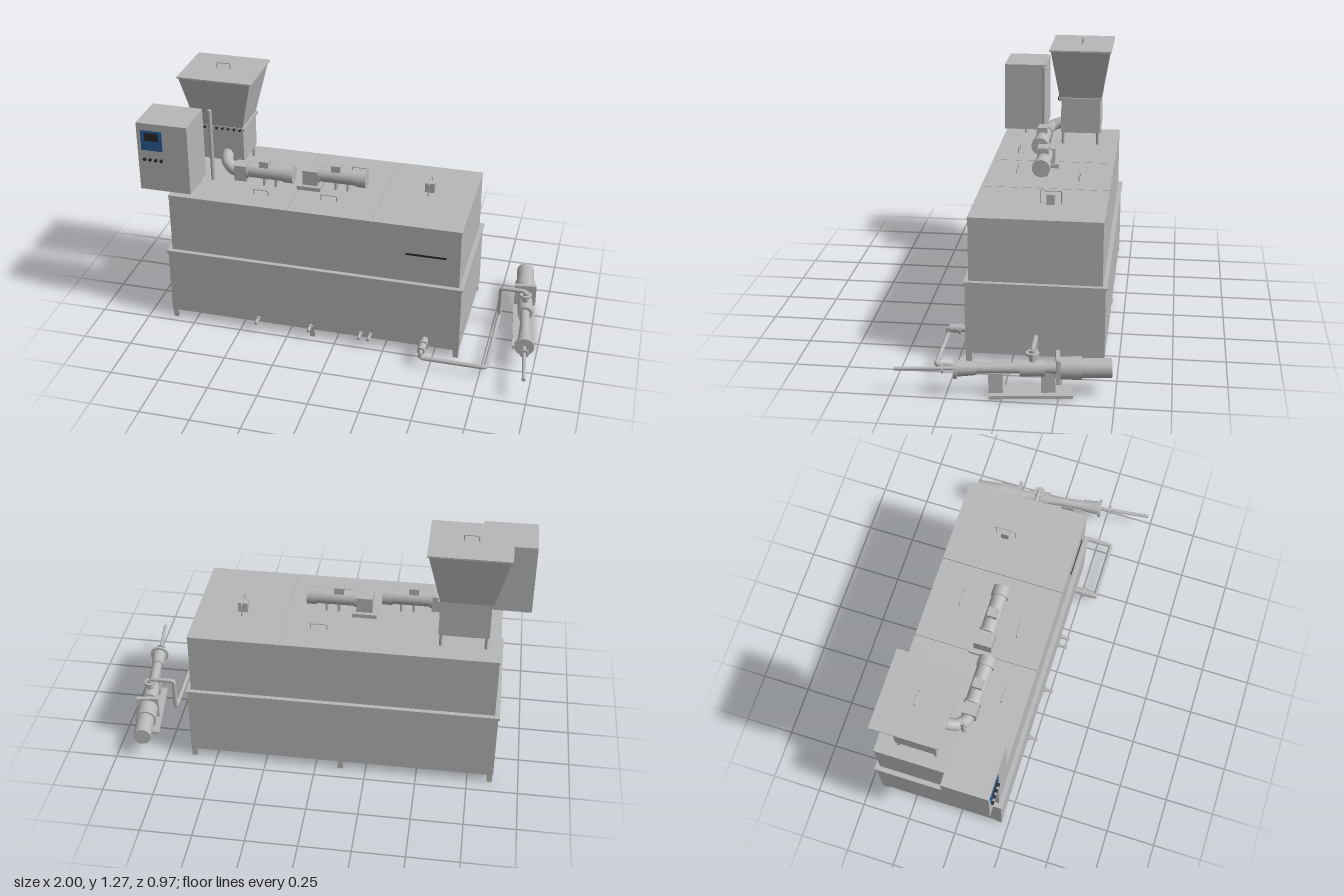
import * as THREE from 'three';

const material = (name, color) => {
  const m = new THREE.MeshStandardMaterial({ color });
  m.name = name;
  return m;
};

export function createModel() {
  const model = new THREE.Group();
  model.name = 'processingTank';
  const steel = material('steel grey', 0xb6b7b8);
  const blue = material('panel blue', 0x2c5c98);
  const dark = material('dark', 0x2a2a2c);

  // Helpers
  const add = (name, geometry, mat = steel, parent = model) => {
    const mesh = new THREE.Mesh(geometry, mat);
    mesh.name = name;
    parent.add(mesh);
    return mesh;
  };
  // Box given by its limits on each axis
  const box = (name, x0, x1, y0, y1, z0, z1, mat, parent) => {
    const g = new THREE.BoxGeometry(x1 - x0, y1 - y0, z1 - z0);
    g.translate((x0 + x1) / 2, (y0 + y1) / 2, (z0 + z1) / 2);
    return add(name, g, mat, parent);
  };
  // Cylinder along one axis from a to b, at the two other coordinates (in x, y, z order)
  const rod = (name, axis, a, b, u, v, r, mat, parent, rEnd = r) => {
    const g = new THREE.CylinderGeometry(rEnd, r, b - a, 24);
    const mid = (a + b) / 2;
    if (axis === 'x') g.rotateZ(-Math.PI / 2).translate(mid, u, v);
    if (axis === 'y') g.translate(u, mid, v);
    if (axis === 'z') g.rotateX(Math.PI / 2).translate(u, v, mid);
    return add(name, g, mat, parent);
  };
  // Pipe through corner points with rounded bends
  const pipe = (name, points, r, bend, parent) => {
    const p = points.map((q) => new THREE.Vector3(...q));
    const path = new THREE.CurvePath();
    let start = p[0];
    for (let i = 1; i < p.length - 1; i++) {
      const before = p[i].clone().add(p[i - 1].clone().sub(p[i]).setLength(bend));
      const after = p[i].clone().add(p[i + 1].clone().sub(p[i]).setLength(bend));
      path.add(new THREE.LineCurve3(start, before));
      path.add(new THREE.QuadraticBezierCurve3(before, p[i], after));
      start = after;
    }
    path.add(new THREE.LineCurve3(start, p[p.length - 1]));
    return add(name, new THREE.TubeGeometry(path, 120, r, 12), steel, parent);
  };
  // Bent wire handle standing on a lid
  const handle = (name, x, y, z, w, h, alongZ = false) => {
    const m = pipe(name, [[-w / 2, 0, 0], [-w / 2, h, 0], [w / 2, h, 0], [w / 2, 0, 0]], 0.003, 0.006);
    m.position.set(x, y, z);
    if (alongZ) m.rotation.y = Math.PI / 2;
  };

  // Tank: lower and upper casing, rim and feet
  box('lowerTank', -0.877, 0.628, 0.045, 0.395, -0.435, 0.216);
  box('tankRim', -0.884, 0.635, 0.393, 0.404, -0.442, 0.223);
  box('upperTank', -0.86, 0.613, 0.404, 0.708, -0.42, 0.2);
  for (const x of [-0.86, -0.125, 0.612])
    for (const z of [-0.42, 0.2]) box('foot', x - 0.013, x + 0.013, 0, 0.046, z - 0.014, z + 0.014);

  // Three lids divided by narrow seams
  for (const [a, b] of [[-0.862, -0.252], [-0.248, 0.173], [0.177, 0.615]])
    box('lid', a, b, 0.706, 0.715, -0.422, 0.202);
  handle('lidHandle', -0.415, 0.713, 0.085, 0.075, 0.03);
  handle('lidHandle', -0.075, 0.713, 0.055, 0.08, 0.03);
  handle('lidHandle', 0.005, 0.713, -0.265, 0.08, 0.03);
  handle('sensorBracket', 0.39, 0.713, -0.16, 0.1, 0.066, true);
  box('sensorBox', 0.366, 0.414, 0.718, 0.768, -0.178, -0.14);

  // Vent grille on the front
  box('ventStrip', 0.345, 0.545, 0.555, 0.564, 0.199, 0.204, dark);

  // Hopper: neck on legs, flange with bolts, tapered funnel and lid
  box('hopperNeck', -0.805, -0.567, 0.778, 0.96, -0.326, -0.12);
  box('hopperFlange', -0.815, -0.557, 0.953, 0.97, -0.332, -0.108);
  const funnel = new THREE.BoxGeometry(0.37, 0.265, 0.31);
  const fp = funnel.attributes.position;
  for (let i = 0; i < fp.count; i++)
    if (fp.getY(i) < 0) fp.setXYZ(i, fp.getX(i) * 0.665, fp.getY(i), fp.getZ(i) * 0.71);
  funnel.computeVertexNormals();
  add('hopperFunnel', funnel).position.set(-0.69, 1.1, -0.222);
  box('hopperLid', -0.881, -0.498, 1.23, 1.238, -0.383, -0.06);
  handle('hopperHandle', -0.69, 1.236, -0.222, 0.068, 0.03);
  for (const x of [-0.793, -0.58])
    for (const z of [-0.315, -0.131]) rod('hopperLeg', 'y', 0.713, 0.78, x, z, 0.008);
  for (let i = 0; i < 8; i++) rod('flangeBolt', 'z', -0.109, -0.101, -0.795 + i * 0.031, 0.96, 0.006, dark);

  // Control cabinet with screen, buttons and stub legs
  box('controlCabinet', -1, -0.74, 0.738, 1.1, -0.02, 0.204);
  box('cabinetPanel', -0.979, -0.87, 0.957, 1.063, 0.203, 0.208, blue);
  box('cabinetScreen', -0.958, -0.888, 1.01, 1.052, 0.207, 0.211, dark);
  for (let i = 0; i < 4; i++) rod('button', 'z', 0.203, 0.215, -0.966 + i * 0.029, 0.907, 0.008, dark);
  for (const x of [-0.968, -0.755])
    for (const z of [0.02, 0.09]) rod('cabinetLeg', 'y', 0.714, 0.74, x, z, 0.007);
  rod('cablePole', 'y', 0.713, 1.1, -0.7, -0.015, 0.01);

  // Geared motors on the lid
  const gearedMotor = (x0, x1, z) => {
    rod('motorBody', 'x', x0, x1 - 0.05, 0.784, z, 0.038);
    rod('motorCap', 'x', x1 - 0.05, x1, 0.784, z, 0.044);
    rod('motorCollar', 'x', x0, x0 + 0.012, 0.784, z, 0.044);
    const jx = x0 + 0.09;
    box('junctionBox', jx - 0.024, jx + 0.024, 0.81, 0.846, z - 0.024, z + 0.024);
    for (const dx of [0.09, 0.15]) box('motorFoot', x0 + dx - 0.005, x0 + dx + 0.005, 0.713, 0.76, z - 0.025, z + 0.025);
  };
  gearedMotor(-0.52, -0.278, -0.037);
  box('feederGearbox', -0.582, -0.518, 0.732, 0.815, -0.07, 0);
  gearedMotor(-0.16, 0.085, -0.08);
  box('mixerGearbox', -0.236, -0.158, 0.735, 0.812, -0.125, -0.036);
  box('mixerBase', -0.26, -0.14, 0.714, 0.735, -0.145, -0.015);
  // Feed elbow from gearbox to hopper neck
  const elbow = new THREE.CatmullRomCurve3([
    new THREE.Vector3(-0.56, 0.768, -0.035), new THREE.Vector3(-0.6, 0.775, -0.042),
    new THREE.Vector3(-0.64, 0.797, -0.075), new THREE.Vector3(-0.655, 0.815, -0.135)]);
  add('feedElbow', new THREE.TubeGeometry(elbow, 24, 0.03, 20));

  // Drain stubs and the outlet pipe to the pump
  for (const x of [-0.41, -0.133, 0.128, 0.177]) {
    rod('drainStub', 'z', 0.21, 0.266, x, 0.065, 0.008);
    rod('drainCollar', 'z', 0.214, 0.226, x, 0.065, 0.012);
  }
  rod('outletSocket', 'z', 0.21, 0.265, 0.457, 0.085, 0.017);
  rod('outletFlange', 'z', 0.262, 0.272, 0.457, 0.085, 0.027);
  rod('outletValve', 'z', 0.272, 0.318, 0.457, 0.085, 0.02);
  pipe('outletPipe', [[0.457, 0.085, 0.29], [0.457, 0.085, 0.328], [0.457, 0.052, 0.328], [0.78, 0.052, 0.328],
    [0.78, 0.052, -0.132], [0.78, 0.22, -0.132], [0.906, 0.22, -0.132], [0.906, 0.16, -0.132]], 0.011, 0.015);

  // Screw pump, built along z and turned slightly
  const pump = new THREE.Group();
  pump.name = 'pump';
  pump.position.set(0.923, 0.125, 0);
  pump.rotation.y = 0.12;
  model.add(pump);
  // Each section: name, start, end, start radius, end radius
  for (const [name, a, b, r, r2] of [
    ['pumpRod', 0.2, 0.482, 0.009, 0.009], ['rodCollar', 0.265, 0.273, 0.023, 0.023],
    ['pumpFlange', 0.204, 0.218, 0.048, 0.048], ['pumpOutlet', 0.115, 0.205, 0.03, 0.037],
    ['pumpBarrel', -0.08, 0.117, 0.024, 0.024], ['pumpBody', -0.188, -0.075, 0.038, 0.038],
    ['pumpCoupling', -0.24, -0.186, 0.03, 0.026], ['pumpMotorFront', -0.35, -0.252, 0.053, 0.05],
    ['pumpMotorRear', -0.484, -0.348, 0.044, 0.044]])
    rod(name, 'z', a, b, 0, 0, r, steel, pump, r2);
  box('motorPlate', -0.055, 0.055, -0.055, 0.06, -0.255, -0.236, steel, pump);
  box('pumpBase', -0.055, 0.055, -0.125, -0.11, -0.31, 0.062, steel, pump);
  box('frontSupport', -0.024, 0.024, -0.111, -0.015, 0, 0.064, steel, pump);
  box('rearSupport', -0.024, 0.024, -0.111, 0, -0.234, -0.17, steel, pump);
  rod('inletNeck', 'y', 0, 0.09, 0, -0.132, 0.016, steel, pump);
  rod('inletFlange', 'y', 0.068, 0.078, 0, -0.132, 0.03, steel, pump);

  return model;
}
